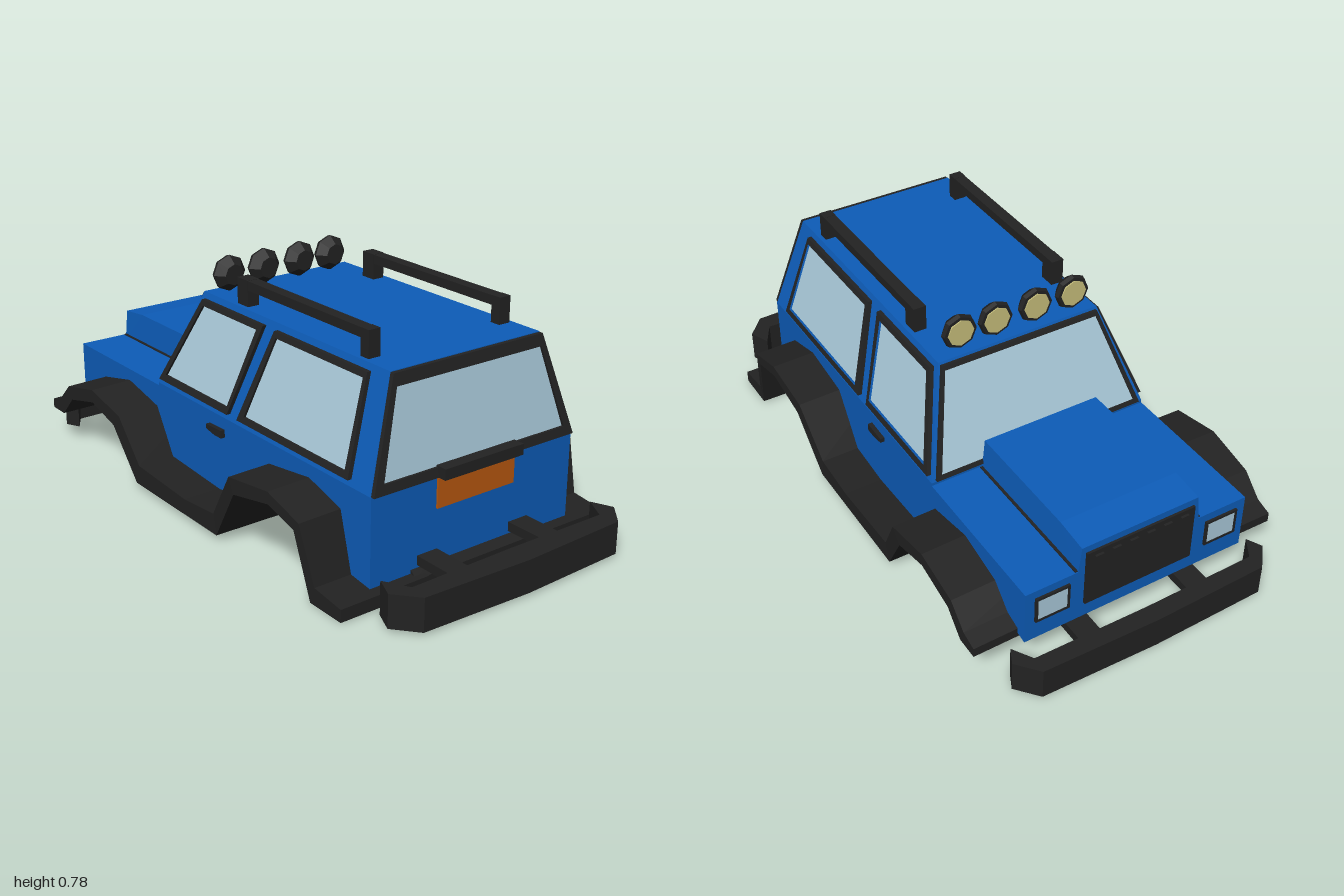
import * as THREE from 'three';

const paint = (name, color) => Object.assign(new THREE.MeshStandardMaterial({ color }), { name });

export function createModel() {
  const car = new THREE.Group();
  car.name = 'offRoadCarBody';
  const blue = paint('bodyBlue', 0x0d5cb8);
  const black = paint('trimBlack', 0x222222);
  const glass = paint('windowGlass', 0xa9c9d9);
  const orange = paint('plateOrange', 0xb8580f);
  const yellow = paint('lampYellow', 0xc8c07c);

  const add = (name, geometry, material) => {
    const mesh = new THREE.Mesh(geometry, material);
    mesh.name = name;
    car.add(mesh);
    return mesh;
  };
  const toShape = (pts) => new THREE.Shape(pts.map(([x, y]) => new THREE.Vector2(x, y)));
  const extrude = (shape, depth) => new THREE.ExtrudeGeometry(shape, { depth, bevelEnabled: false });
  const box = (name, w, h, d, x, y, z, material = black) =>
    add(name, new THREE.BoxGeometry(w, h, d).translate(x, y, z), material);
  // Move every vertex by a rule
  const bend = (geometry, rule) => {
    const p = geometry.attributes.position;
    const v = new THREE.Vector3();
    for (let i = 0; i < p.count; i++) {
      rule(v.fromBufferAttribute(p, i));
      p.setXYZ(i, v.x, v.y, v.z);
    }
    geometry.computeVertexNormals();
    return geometry;
  };
  // Side profile of [z, y] points, swept from x0 to x1
  const sweep = (pts, x0, x1) =>
    extrude(toShape(pts.map(([z, y]) => [-z, y])), x1 - x0).rotateY(Math.PI / 2).translate(x0, 0, 0);

  // Lower body, cut out over the wheels
  add('lowerBody', sweep([
    [0.765, 0.33], [-0.353, 0.33], [-0.353, 0.32], [-0.88, 0.32], [-0.88, 0.13], [-0.83, 0.14],
    [-0.78, 0.15], [-0.715, 0.22], [-0.55, 0.26], [-0.39, 0.22], [-0.295, 0.06], [0.17, 0.06],
    [0.29, 0.24], [0.48, 0.27], [0.62, 0.235], [0.67, 0.04], [0.765, 0.04],
  ], -0.39, 0.39), blue);

  // Cabin narrowing to the roof
  add('cabin', bend(new THREE.BoxGeometry(2, 1, 2), (v) => {
    const top = v.y > 0;
    const z = v.z > 0 ? (top ? 0.712 : 0.762) : (top ? -0.22 : -0.353);
    v.set(Math.sign(v.x) * (top ? 0.285 : 0.39), top ? 0.66 : 0.33, z);
  }), blue);

  // Raised bonnet
  add('bonnet', bend(sweep([
    [-0.355, 0.3], [-0.355, 0.42], [-0.77, 0.42], [-0.88, 0.408], [-0.88, 0.3],
  ], -0.215, 0.215), (v) => { if (v.y > 0.35) v.x *= 0.95; }), blue);
  for (const s of [-1, 1]) box('bonnetSeam', 0.01, 0.004, 0.52, s * 0.217, 0.321, -0.617);

  // Underbody between the wheel wells
  add('underbody', sweep([
    [0.79, 0], [0.79, 0.04], [0.6, 0.2], [-0.6, 0.24], [-0.87, 0.14], [-0.76, 0.12], [-0.58, 0],
  ], -0.24, 0.24), black);

  // Wheel flares, sills and wheel-well liners in one band per side
  const band = [
    [0.8, 0.003], [0.8, 0.045], [0.68, 0.06], [0.63, 0.25], [0.48, 0.293], [0.28, 0.265],
    [0.165, 0.09], [0, 0.075], [-0.28, 0.09], [-0.37, 0.245], [-0.55, 0.284], [-0.72, 0.245],
    [-0.79, 0.175], [-0.845, 0.158], [-0.845, 0.125], [-0.77, 0.125], [-0.7, 0.2],
    [-0.55, 0.238], [-0.41, 0.2], [-0.3, 0.02], [0.18, 0.02], [0.305, 0.215], [0.48, 0.252],
    [0.605, 0.22], [0.66, 0.003],
  ];
  const flareRule = (v) => {
    if (Math.abs(v.x) < 0.4) return;
    if (v.y < 0.1) v.x -= Math.sign(v.x) * 0.017;
    v.y *= 0.97;
  };
  add('leftFlare', bend(sweep(band, 0.2, 0.537), flareRule), black);
  add('rightFlare', bend(sweep(band, -0.537, -0.2), flareRule), black);

  // A flat part on a leaning wall: outline [u, y], wall heading, distance and lean
  const walls = {
    left: [Math.PI / 2, 0.39, 0.318],
    right: [-Math.PI / 2, 0.39, 0.318],
    rear: [0, 0.762, 0.152],
    windscreen: [Math.PI, 0.353, 0.403],
    nose: [Math.PI, 0.88, 0],
    tail: [0, 0.765, 0],
    leftDoor: [Math.PI / 2, 0.39, 0],
    rightDoor: [-Math.PI / 2, 0.39, 0],
  };
  const onWall = (name, wall, pts, depth, material, hole) => {
    const [angle, dist, lean] = walls[wall];
    const shape = toShape(pts);
    if (hole) shape.holes.push(new THREE.Path(hole.map(([x, y]) => new THREE.Vector2(x, y))));
    const g = bend(extrude(shape, depth), (v) => { v.z += dist - lean * (v.y - 0.33); });
    return add(name, g.rotateY(angle), material);
  };
  const framed = (name, wall, outer, inner, depth = 0.014) => {
    onWall(name + 'Frame', wall, outer, depth, black, inner);
    onWall(name, wall, inner, 0.006, glass);
  };
  const rect = (x0, x1, y0, y1) => [[x0, y0], [x1, y0], [x1, y1], [x0, y1]];
  const trapezoid = (xb, yb, xt, yt) => [[-xb, yb], [xb, yb], [xt, yt], [-xt, yt]];

  // Windows
  framed('rearWindow', 'rear', trapezoid(0.388, 0.33, 0.285, 0.658), trapezoid(0.35, 0.36, 0.277, 0.62));
  framed('windscreen', 'windscreen', trapezoid(0.375, 0.335, 0.28, 0.652), trapezoid(0.355, 0.348, 0.272, 0.638), 0.01);
  for (const [side, s] of [['left', -1], ['right', 1]]) {
    const flip = (pts) => pts.map(([z, y]) => [s * z, y]);
    framed(side + 'RearSideWindow', side,
      flip([[0.637, 0.64], [0.193, 0.64], [0.118, 0.35], [0.67, 0.35]]),
      flip([[0.625, 0.622], [0.208, 0.622], [0.15, 0.368], [0.648, 0.368]]));
    framed(side + 'FrontSideWindow', side,
      flip([[0.134, 0.64], [-0.205, 0.64], [-0.337, 0.35], [0.064, 0.35]]),
      flip([[0.107, 0.622], [-0.192, 0.622], [-0.305, 0.37], [0.054, 0.37]]));
    // Door handle
    onWall(side + 'DoorHandle', side + 'Door',
      flip([[0.04, 0.264], [0.04, 0.29], [-0.045, 0.287], [-0.045, 0.272], [0.0, 0.264]]), 0.015, black);
  }

  // Tail plate and its grip
  onWall('rearPlate', 'tail', rect(-0.15, 0.15, 0.23, 0.335), 0.006, orange);
  box('tailgateGrip', 0.305, 0.035, 0.045, 0, 0.347, 0.78);

  // Grille with upright bars, and headlights
  onWall('grille', 'nose', rect(-0.19, 0.19, 0.185, 0.385), 0.008, black);
  for (let i = 0; i < 6; i++) {
    const x = -0.15 + i * 0.06;
    onWall('grilleBar', 'nose', rect(x - 0.014, x + 0.014, 0.2, 0.37), 0.016, black);
  }
  for (const s of [-1, 1]) {
    framed('headlight', 'nose', rect(s * 0.3 - 0.058, s * 0.3 + 0.058, 0.2, 0.292),
      rect(s * 0.3 - 0.05, s * 0.3 + 0.05, 0.208, 0.284), 0.008);
  }

  // Bumpers with swept ends, on two brackets each
  const bumper = (name, s, half, bracketX) => {
    const outline = [...half, ...half.slice(1, -1).reverse().map(([x, z]) => [-x, z])];
    // run: front middle, one end, back middle, other end
    const g = extrude(toShape(outline.map(([x, z]) => [x, -s * z])), 0.107);
    add(name, g.rotateX(-Math.PI / 2).translate(0, 0.01, 0), black);
    for (const side of [-1, 1]) box(name + 'Bracket', 0.075, 0.03, 0.2, side * bracketX, 0.085, s * 0.86);
  };
  bumper('rearBumper', 1, [[0, 1], [0.38, 0.985], [0.445, 0.91], [0.415, 0.84], [0.37, 0.92], [0, 0.915]], 0.18);
  bumper('frontBumper', -1, [[0, 1], [0.395, 0.99], [0.455, 0.92], [0.43, 0.87], [0.39, 0.935], [0, 0.94]], 0.195);

  // Roof rails
  for (const s of [-1, 1]) {
    box('roofRail', 0.04, 0.03, 0.65, s * 0.25, 0.729, 0.275);
    for (const z of [0.582, -0.022]) box('railPost', 0.042, 0.09, z > 0 ? 0.036 : 0.056, s * 0.25, 0.7, z);
  }

  // Four lamps at the roof's front edge
  for (const x of [-0.215, -0.08, 0.063, 0.19]) {
    const shell = new THREE.CylinderGeometry(0.06, 0.035, 0.03, 8).toNonIndexed();
    shell.computeVertexNormals();
    add('roofLampShell', shell.rotateX(-Math.PI / 2).translate(x, 0.718, -0.163), black);
    const rim = new THREE.CylinderGeometry(0.056, 0.06, 0.014, 8).toNonIndexed();
    rim.computeVertexNormals();
    add('roofLampRim', rim.rotateX(-Math.PI / 2).translate(x, 0.718, -0.185), black);
    add('roofLampLens', new THREE.CylinderGeometry(0.045, 0.045, 0.006, 8)
      .rotateX(-Math.PI / 2).translate(x, 0.718, -0.193), yellow);
  }
  return car;
}
